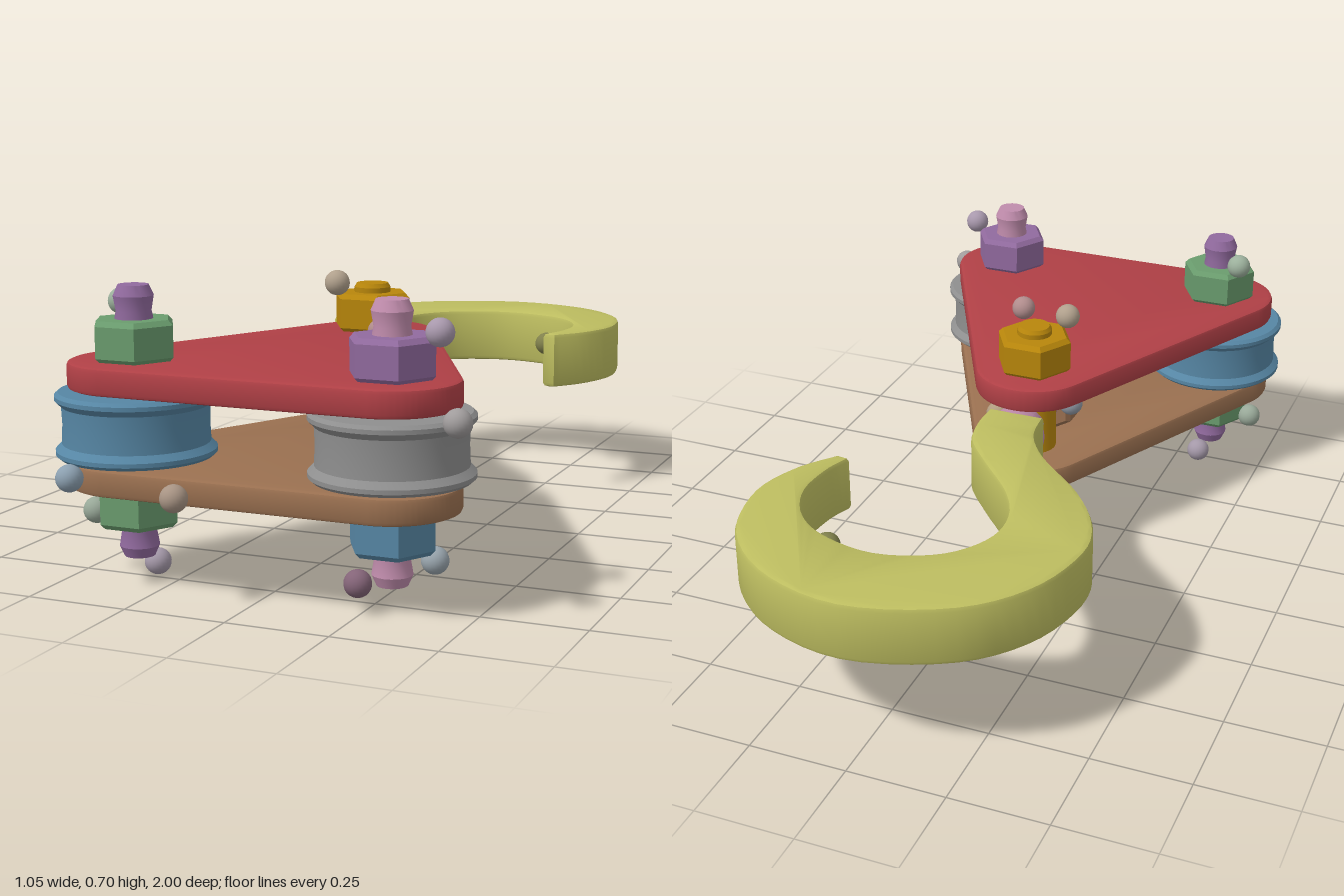
import * as THREE from 'three';
import { toCreasedNormals } from 'three/addons/utils/BufferGeometryUtils.js';

const RED = 0xb04046, BROWN = 0x9a7050, BLUE = 0x5686a4, GREY = 0x8e8e8e, GREEN = 0x6a9c6e,
  PURPLE = 0x916a9e, PINK = 0xc08cac, GOLD = 0xb8860b, YELLOW = 0xbdbd60;

// Pin centres in the ground plane (x, z): hook end, right pulley, left pulley
const HOOK_PIN = [-0.02, 0.13], PULLEY_A = [-0.34, 0.775], PULLEY_B = [0.303, 0.775];

function part(parent, name, geometry, color, flatShading = false) {
  const mesh = new THREE.Mesh(geometry, new THREE.MeshStandardMaterial({ color, flatShading }));
  mesh.name = name;
  parent.add(mesh);
  return mesh;
}

// Turned part from [radius, y] pairs listed bottom to top
function turned(profile, sides = 32) {
  const geometry = new THREE.LatheGeometry(profile.map(([r, y]) => new THREE.Vector2(r, y)), sides);
  return sides > 8 ? toCreasedNormals(geometry, 0.5) : geometry;
}

// Flat part: outline drawn in x and z, filled between two heights
function slab(shape, bottom, top, bevel) {
  const geometry = new THREE.ExtrudeGeometry(shape, {
    depth: top - bottom - 2 * bevel, curveSegments: 24,
    bevelThickness: bevel, bevelSize: bevel, bevelOffset: -bevel, bevelSegments: 2,
  });
  geometry.rotateX(Math.PI / 2).translate(0, top - bevel, 0);
  return toCreasedNormals(geometry, 0.6);
}

// Rounded triangle wrapped around the three pins
function plateShape() {
  const corners = [HOOK_PIN, PULLEY_B, PULLEY_A];
  const normalAngle = (a, b) => Math.atan2(b[1] - a[1], b[0] - a[0]) - Math.PI / 2;
  const shape = new THREE.Shape();
  corners.forEach((c, i) => {
    const before = normalAngle(corners[(i + 2) % 3], c);
    const after = normalAngle(c, corners[(i + 1) % 3]);
    shape.absarc(c[0], c[1], 0.156, before, after, false);
  });
  return shape;
}

// Hexagonal nut with chamfered rims and points along x
function nutGeometry(radius, height) {
  const h = height / 2, c = 0.012;
  return turned([[0, -h], [radius - c, -h], [radius, -h + c], [radius, h - c], [radius - c, h], [0, h]], 6)
    .rotateY(Math.PI / 6);
}

function nut(parent, name, [x, z], y, color) {
  part(parent, name, nutGeometry(0.102, 0.098), color, true).position.set(x, y, z);
}

function bolt(parent, name, [x, z], color) {
  const profile = [[0, 0.06], [0.036, 0.06], [0.047, 0.085], [0.041, 0.12], [0.047, 0.15],
    [0.047, 0.61], [0.041, 0.64], [0.047, 0.675], [0.036, 0.7], [0, 0.7]];
  part(parent, name, turned(profile, 20), color).position.set(x, 0, z);
}

function pulley(parent, name, [x, z], color) {
  const profile = [[0, 0.302], [0.178, 0.302], [0.187, 0.31], [0.187, 0.32], [0.172, 0.335],
    [0.17, 0.38], [0.172, 0.423], [0.187, 0.438], [0.187, 0.448], [0.178, 0.456], [0, 0.456]];
  part(parent, name, turned(profile, 48), color).position.set(x, 0, z);
}

function hookShape() {
  const toVectors = (list) => list.map(([x, z]) => new THREE.Vector2(x, z));
  const outer = toVectors([[-0.10, -0.01], [-0.115, -0.11], [-0.18, -0.21], [-0.315, -0.34], [-0.4, -0.47],
    [-0.424, -0.6], [-0.37, -0.78], [-0.235, -0.92], [0, -0.998], [0.215, -0.945], [0.36, -0.81],
    [0.41, -0.63], [0.375, -0.49], [0.305, -0.39]]);
  const inner = toVectors([[0.272, -0.395], [0.295, -0.47], [0.298, -0.58], [0.25, -0.68], [0.16, -0.745],
    [0.02, -0.772], [-0.12, -0.72], [-0.195, -0.62], [-0.2, -0.51], [-0.15, -0.405], [-0.05, -0.29],
    [0.025, -0.195], [0.05, -0.1], [0.05, -0.01]]);
  const smooth = (points) => new THREE.SplineCurve(points).getPoints(60);
  return new THREE.Shape([...smooth(outer), ...smooth(inner)]);
}

export function createModel() {
  const model = new THREE.Group();
  model.name = 'hookBlock';

  // Side plates
  part(model, 'upperPlate', slab(plateShape(), 0.463, 0.527, 0.01), RED);
  part(model, 'lowerPlate', slab(plateShape(), 0.231, 0.293, 0.01), BROWN);

  // Pulleys, their bolts and spacers
  pulley(model, 'rightPulley', PULLEY_A, BLUE);
  pulley(model, 'leftPulley', PULLEY_B, GREY);
  bolt(model, 'rightBolt', PULLEY_A, PURPLE);
  bolt(model, 'leftBolt', PULLEY_B, PINK);
  for (const [x, z] of [PULLEY_A, PULLEY_B]) {
    for (const [y, color] of [[0.297, BROWN], [0.459, RED]]) {
      part(model, 'spacer', new THREE.CylinderGeometry(0.1, 0.1, 0.012, 24), color).position.set(x, y, z);
    }
  }

  // Nuts above and below the plates
  const nuts = [['right', PULLEY_A, GREEN, GREEN], ['centre', HOOK_PIN, GOLD, RED], ['left', PULLEY_B, PURPLE, BLUE]];
  for (const [side, place, upper, lower] of nuts) {
    nut(model, `${side}UpperNut`, place, 0.573, upper);
    nut(model, `${side}LowerNut`, place, 0.185, lower);
  }

  // Swivel pin, thicker between the plates
  const pin = [[0, 0.11], [0.04, 0.11], [0.046, 0.12], [0.046, 0.293], [0.06, 0.293],
    [0.06, 0.463], [0.046, 0.463], [0.046, 0.635], [0.04, 0.645], [0, 0.645]];
  part(model, 'swivelPin', turned(pin, 20), GOLD).position.set(HOOK_PIN[0], 0, HOOK_PIN[1]);

  // Hook with its threaded shank and retaining nut
  part(model, 'hook', slab(hookShape(), 0.305, 0.456, 0.012), YELLOW);
  const shank = turned([[0, -0.03], [0.075, -0.03], [0.075, 0.02], [0.046, 0.08], [0.046, 0.3], [0.036, 0.312], [0, 0.312]], 20);
  part(model, 'hookShank', shank.rotateX(Math.PI / 2), PINK).position.set(-0.018, 0.38, 0);
  const shankNut = nutGeometry(0.093, 0.1).rotateX(Math.PI / 2).rotateZ(Math.PI / 2);
  part(model, 'shankNut', shankNut, BROWN, true).position.set(-0.015, 0.38, 0.25);

  // Small marker balls scattered around the joints
  const balls = [
    [-0.414, 0.65, 0.705, 0x9cb09c], [-0.085, 0.65, 0.205, 0xb0a08c], [0.115, 0.563, 0.395, 0xb08c8c],
    [0.42, 0.635, 0.79, 0xa898ac], [0.495, 0.46, 0.88, 0xa09c9c], [0.066, 0.433, 0.32, 0xa89490],
    [-0.1, 0.397, 0.2, 0x9098a4], [0.097, 0.348, 0.16, 0xb09c80], [-0.411, 0.277, 0.955, 0x8ca0b0],
    [-0.138, 0.258, 0.965, 0xa89484], [-0.458, 0.156, 0.77, 0x98a898], [0.067, 0.167, 0.23, 0xac8c8c],
    [0.383, 0.11, 0.72, 0x98a4ac], [0.243, 0.071, 0.83, 0x846478], [-0.32, 0.034, 0.727, 0xa498a8],
    [0.19, 0.38, -0.68, 0x80804c],
  ];
  const ball = new THREE.SphereGeometry(0.032, 20, 14);
  for (const [x, y, z, color] of balls) part(model, 'markerBall', ball, color).position.set(x, y, z);

  return model;
}
